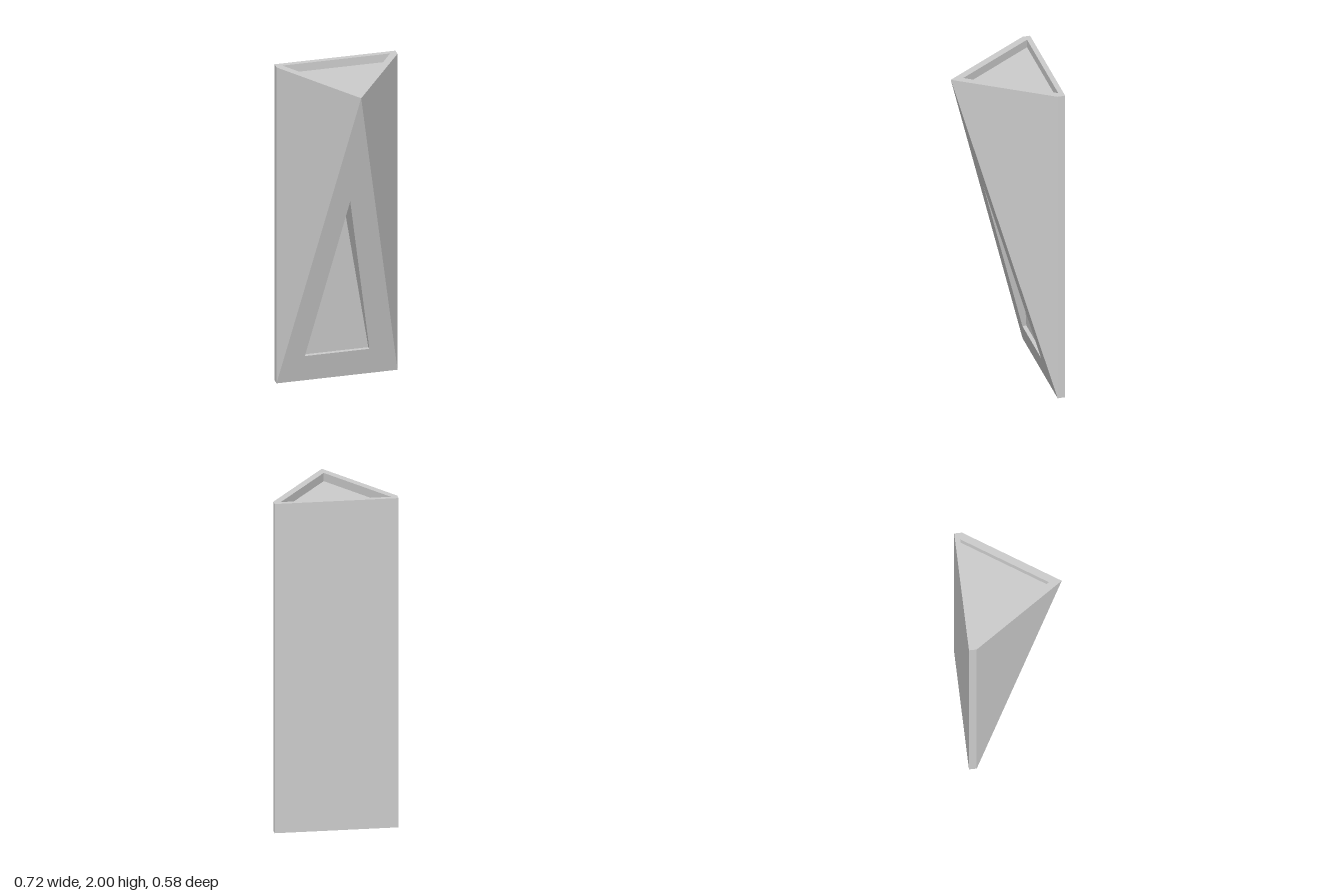
import * as THREE from 'three';
import { mergeGeometries } from 'three/addons/utils/BufferGeometryUtils.js';

const W = 0.36, BACK = -0.29, EDGE = -0.245, TIP = 0.29, H = 2;

// Outlines run counter-clockwise; each surface is a rule that places (u, v) in space
const TOP = [[0, -TIP], [W, -EDGE], [W, -BACK], [-W, -BACK], [-W, -EDGE]];
const TOP_HOLE = [[0, -0.215], [0.32, 0.26], [-0.32, 0.26]];
const FRONT = [[-W, 0], [W, 0], [0, H]];
const FRONT_HOLE = [[-0.204, 0.175], [0.18, 0.175], [-0.012, 1.26]];

const onTop = (u, v) => [u, H, -v];
const onTopFloor = (u, v) => [u, H - 0.05, -v];
const onFront = (u, v) => [u, v, EDGE + (TIP - EDGE) * v / H];
const onFrontFloor = (u, v) => [u, v, -0.222 + 0.097 * (v - 0.175)];

const toPoints = (list) => list.map(([x, y]) => new THREE.Vector2(x, y));

// Flat panel, optionally with a hole, laid onto a surface
function panel(outline, place, hole) {
  const shape = new THREE.Shape(toPoints(outline));
  if (hole) shape.holes.push(new THREE.Path(toPoints(hole)));
  const geo = new THREE.ShapeGeometry(shape).toNonIndexed();
  const pos = geo.attributes.position;
  for (let i = 0; i < pos.count; i++) pos.setXYZ(i, ...place(pos.getX(i), pos.getY(i)));
  geo.deleteAttribute('uv');
  geo.computeVertexNormals();
  return geo;
}

// Convex polygon from corners in counter-clockwise order
function polygon(...corners) {
  const data = [];
  for (let i = 1; i < corners.length - 1; i++) data.push(...corners[0], ...corners[i], ...corners[i + 1]);
  const geo = new THREE.BufferGeometry();
  geo.setAttribute('position', new THREE.Float32BufferAttribute(data, 3));
  geo.computeVertexNormals();
  return geo;
}

// Inward-facing walls and floor of a pocket
function pocket(loop, rim, floor) {
  const walls = loop.map((a, i) => {
    const b = loop[(i + 1) % loop.length];
    return polygon(rim(...a), rim(...b), floor(...b), floor(...a));
  });
  return [...walls, panel(loop, floor)];
}

export function createModel() {
  const group = new THREE.Group();
  const material = new THREE.MeshStandardMaterial({ color: 0xcccccc, flatShading: true });
  const add = (name, parts) => {
    const mesh = new THREE.Mesh(mergeGeometries(parts), material);
    mesh.name = name;
    group.add(mesh);
  };

  // Wedge body: upright back, thin side edges, tapering sides, sloped front
  add('body', [
    panel(TOP, onTop, TOP_HOLE),
    panel(FRONT, onFront, FRONT_HOLE),
    polygon([W, 0, BACK], [-W, 0, BACK], [-W, H, BACK], [W, H, BACK]),
    polygon([-W, 0, BACK], [W, 0, BACK], [W, 0, EDGE], [-W, 0, EDGE]),
    polygon([W, 0, EDGE], [W, 0, BACK], [W, H, BACK], [W, H, EDGE]),
    polygon([-W, 0, BACK], [-W, 0, EDGE], [-W, H, EDGE], [-W, H, BACK]),
    polygon([W, 0, EDGE], [W, H, EDGE], [0, H, TIP]),
    polygon([-W, 0, EDGE], [0, H, TIP], [-W, H, EDGE]),
  ]);

  // Shallow tray sunk into the top
  add('topRecess', pocket(TOP_HOLE, onTop, onTopFloor));

  // Triangular niche in the sloped front, deeper towards its apex
  add('frontRecess', pocket(FRONT_HOLE, onFront, onFrontFloor));

  return group;
}
